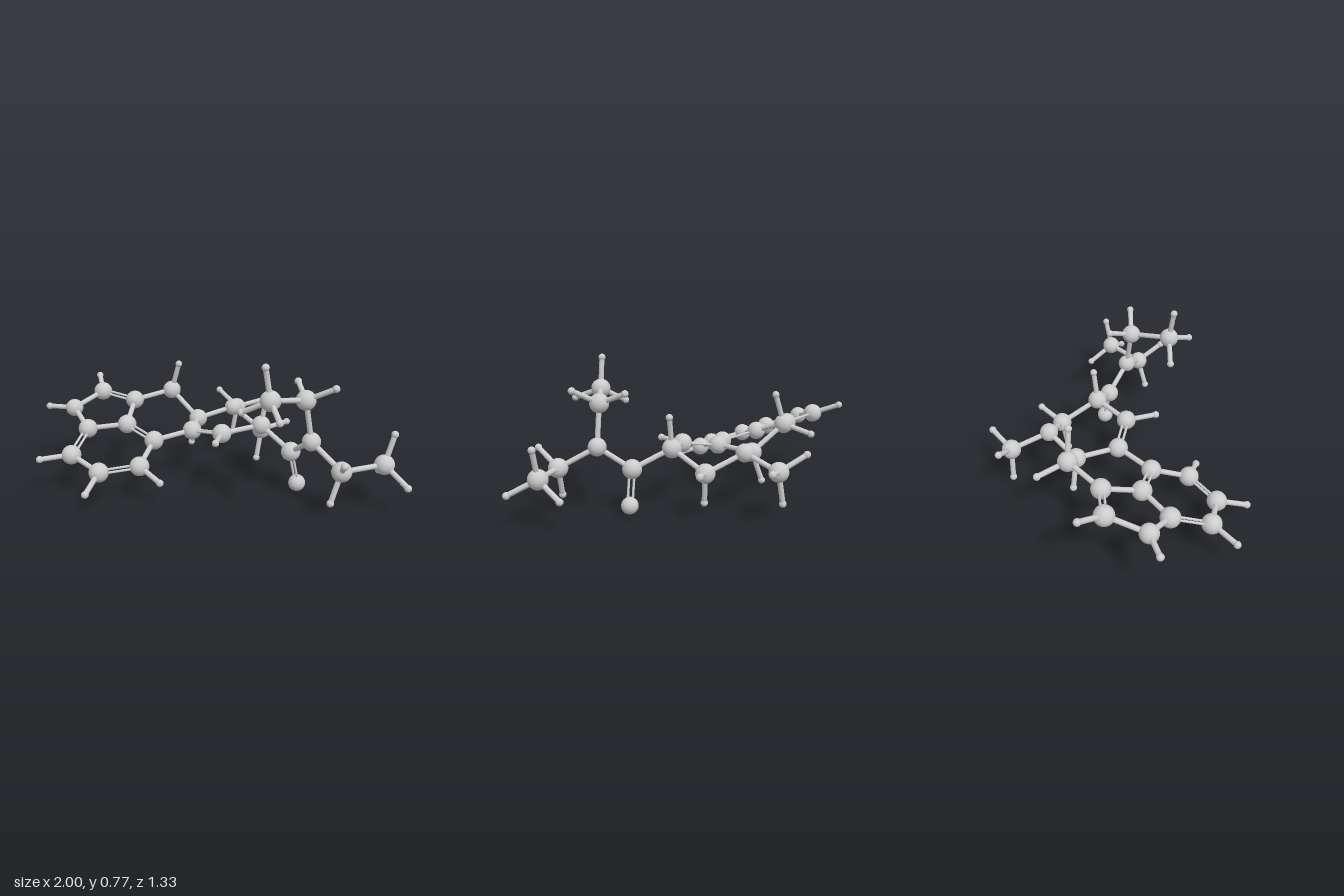
import * as THREE from 'three';

// Atom radii by kind
const RADIUS = { C: 0.05, N: 0.047, O: 0.044, H: 0.0185 };
const ROD = 0.0135, THIN_ROD = 0.0065, SPLIT = 0.0125;

// Backbone atoms: kind and position
const BACKBONE = {
  // five- and six-sided flat rings
  p1: ['C', -0.78, 0.40, -0.075],
  p2: ['N', -0.845, 0.35, 0.12],
  p3: ['C', -0.69, 0.285, 0.23],
  p4: ['C', -0.52, 0.295, 0.11],
  p5: ['C', -0.58, 0.37, -0.085],
  b1: ['C', -0.665, 0.21, 0.43],
  b2: ['C', -0.47, 0.165, 0.485],
  b3: ['C', -0.305, 0.18, 0.365],
  b4: ['C', -0.325, 0.25, 0.17],
  // bridging ring and puckered ring
  r1: ['C', -0.425, 0.405, -0.24],
  r2: ['C', -0.245, 0.268, -0.205],
  r3: ['C', -0.18, 0.275, 0.01],
  r4: ['C', 0.015, 0.30, 0.06],
  r5: ['C', 0.175, 0.32, -0.09],
  r6: ['C', 0.105, 0.223, -0.285],
  r7: ['N', -0.09, 0.313, -0.345],
  methyl: ['C', -0.145, 0.25, -0.54],
  // side chain with two arms
  s1: ['C', 0.365, 0.225, -0.02],
  oxygen: ['O', 0.395, 0.047, -0.045],
  s2: ['N', 0.503, 0.335, 0.085],
  e1: ['C', 0.475, 0.55, 0.107],
  e2: ['C', 0.365, 0.59, 0.307],
  f1: ['C', 0.68, 0.235, 0.165],
  f2: ['C', 0.85, 0.24, 0.005],
};

// Small end atoms: the atom each hangs on, then its position
const ENDS = [
  ['p1', -0.87, 0.455, -0.19], ['p2', -0.983, 0.353, 0.157],
  ['b1', -0.79, 0.20, 0.53], ['b2', -0.45, 0.113, 0.643], ['b3', -0.16, 0.135, 0.422],
  ['r1', -0.487, 0.367, -0.385], ['r1', -0.374, 0.563, -0.232],
  ['r2', -0.297, 0.113, -0.223], ['r4', 0.05, 0.305, 0.22], ['r5', 0.2, 0.482, -0.108],
  ['r6', 0.215, 0.248, -0.4], ['r6', 0.09, 0.063, -0.255],
  ['methyl', -0.28, 0.328, -0.587], ['methyl', -0.02, 0.28, -0.645], ['methyl', -0.175, 0.087, -0.54],
  ['e1', 0.62, 0.623, 0.108], ['e1', 0.395, 0.605, -0.014],
  ['e2', 0.345, 0.75, 0.325], ['e2', 0.22, 0.515, 0.305], ['e2', 0.455, 0.533, 0.43],
  ['f1', 0.725, 0.32, 0.3], ['f1', 0.643, 0.082, 0.207],
  ['f2', 0.80, 0.155, -0.122], ['f2', 0.981, 0.165, 0.075], ['f2', 0.885, 0.39, -0.025],
];

const SINGLE = [
  'p1 p2', 'p2 p3', 'p3 p4', 'p4 p5', 'b1 b2', 'b3 b4', 'p5 r1', 'r1 r2', 'r2 r3', 'r3 b4',
  'r4 r5', 'r5 r6', 'r6 r7', 'r7 r2', 'r7 methyl', 'r5 s1', 's1 s2', 's2 e1', 'e1 e2', 's2 f1', 'f1 f2',
];
// Double bonds; the third atom sets the plane the pair of rods lies in
const DOUBLE = ['p1 p5 p4', 'p3 b1 p4', 'b2 b3 b4', 'p4 b4 b3', 'r3 r4 r5', 's1 oxygen s2'];

export function createModel() {
  const model = new THREE.Group();
  const material = new THREE.MeshStandardMaterial({ color: 0xcccccc });
  const ball = new THREE.SphereGeometry(1, 32, 20);
  const stick = new THREE.CylinderGeometry(1, 1, 1, 16, 1, true);
  const up = new THREE.Vector3(0, 1, 0);
  const section = (name) => {
    const group = new THREE.Group();
    group.name = name;
    model.add(group);
    return group;
  };
  const atoms = section('backboneAtoms');
  const ends = section('endAtoms');
  const singles = section('singleBonds');
  const doubles = section('doubleBonds');

  function addBall(parent, name, position, radius) {
    const mesh = new THREE.Mesh(ball, material);
    mesh.name = name;
    mesh.position.copy(position);
    mesh.scale.setScalar(radius);
    parent.add(mesh);
  }

  function addRod(parent, name, a, b, radius) {
    const along = b.clone().sub(a);
    const mesh = new THREE.Mesh(stick, material);
    mesh.name = name;
    mesh.position.copy(a).add(b).multiplyScalar(0.5);
    mesh.scale.set(radius, along.length(), radius);
    mesh.quaternion.setFromUnitVectors(up, along.normalize());
    parent.add(mesh);
  }

  // Large atoms
  const at = {};
  for (const [key, [kind, x, y, z]] of Object.entries(BACKBONE)) {
    at[key] = new THREE.Vector3(x, y, z);
    addBall(atoms, 'atom', at[key], RADIUS[kind]);
  }

  // Small atoms with their rods
  for (const [key, x, y, z] of ENDS) {
    const p = new THREE.Vector3(x, y, z);
    addBall(ends, 'endAtom', p, RADIUS.H);
    addRod(ends, 'endBond', at[key], p, ROD);
  }

  // Single rods
  for (const bond of SINGLE) {
    const [a, b] = bond.split(' ').map((key) => at[key]);
    addRod(singles, 'singleBond', a, b, ROD);
  }

  // Paired thin rods
  for (const bond of DOUBLE) {
    const [a, b, c] = bond.split(' ').map((key) => at[key]);
    const along = b.clone().sub(a).normalize();
    const side = c.clone().sub(a);
    side.addScaledVector(along, -side.dot(along)).setLength(SPLIT);
    for (const s of [-1, 1]) {
      addRod(doubles, 'doubleBondRod', a.clone().addScaledVector(side, s), b.clone().addScaledVector(side, s), THIN_ROD);
    }
  }
  return model;
}
